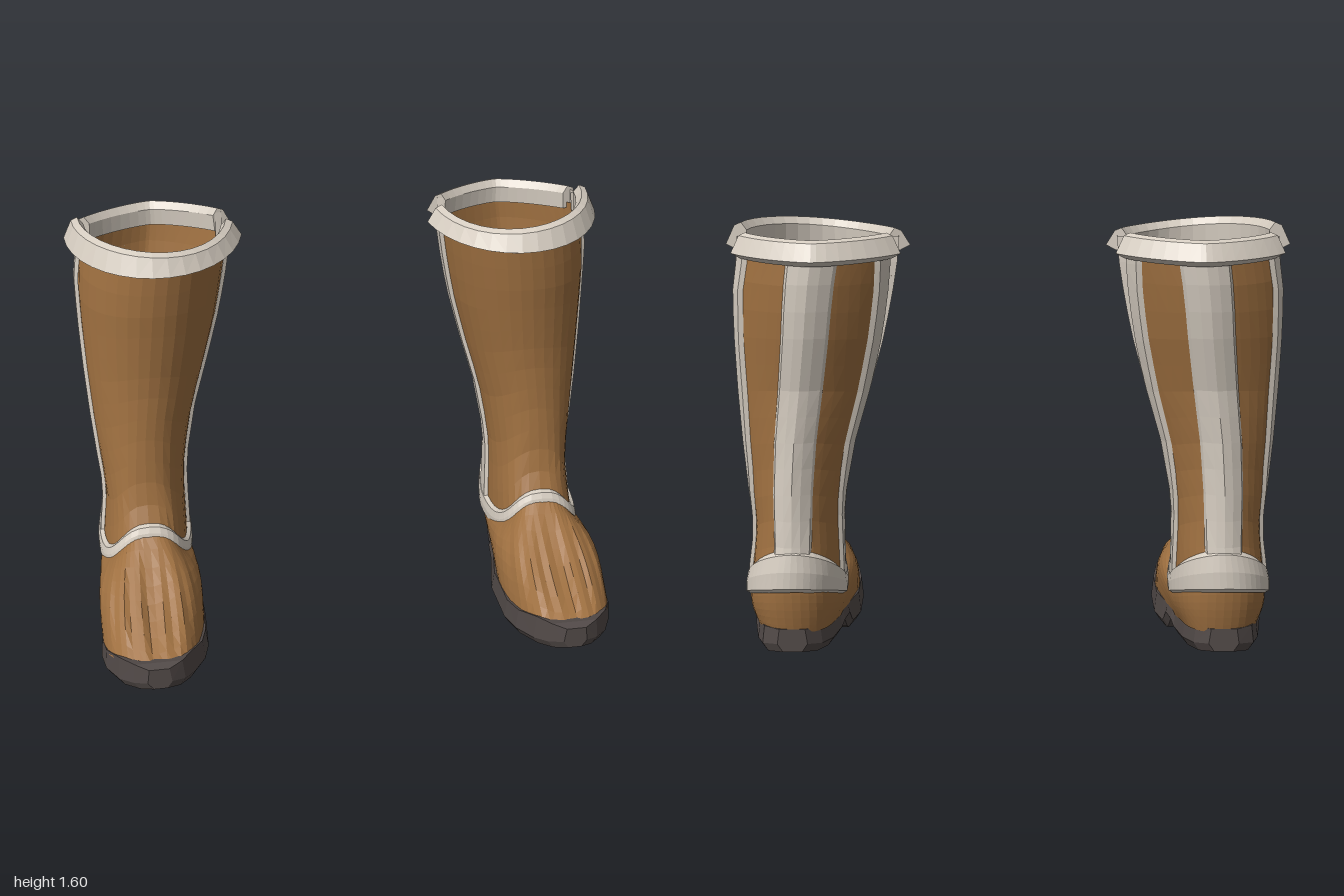
import * as THREE from 'three';

const mat = (name, color) => new THREE.MeshStandardMaterial({ name, color, flatShading: true, side: THREE.DoubleSide });
const leather = mat('brown leather', 0xa07141);
const trim = mat('pale trim', 0xd6cdc1);
const rubber = mat('dark sole', 0x524a48);

// Shaft outline by height: y, inner x, outer x, side slit z, front z, back z
const SHAFT = [
  [0.20, 0.62, 0.96, -0.235, 0.13, -0.475],
  [0.30, 0.62, 0.95, -0.245, 0.10, -0.48],
  [0.40, 0.62, 0.935, -0.255, 0.05, -0.475],
  [0.45, 0.62, 0.93, -0.26, 0.03, -0.465],
  [0.50, 0.62, 0.93, -0.265, 0.0, -0.465],
  [0.60, 0.61, 0.94, -0.28, -0.025, -0.465],
  [0.80, 0.57, 0.955, -0.30, -0.045, -0.465],
  [1.00, 0.51, 0.965, -0.32, -0.05, -0.475],
  [1.20, 0.455, 0.97, -0.34, -0.03, -0.52],
  [1.35, 0.425, 0.97, -0.35, -0.01, -0.545],
  [1.50, 0.40, 0.95, -0.36, 0.0, -0.55],
];
// Sole sections: z, inner x, outer x, bottom y, top y
const SOLE = [
  [0.605, 0.74, 0.83, 0.11, 0.20], [0.57, 0.69, 0.88, 0.09, 0.205],
  [0.50, 0.65, 0.935, 0.06, 0.19], [0.40, 0.605, 0.98, 0.035, 0.15],
  [0.30, 0.585, 0.995, 0.015, 0.125], [0.10, 0.58, 0.985, 0.005, 0.115],
  [0.0, 0.60, 0.975, 0.0, 0.11], [-0.02, 0.605, 0.97, 0.01, 0.11],
  [-0.05, 0.61, 0.965, 0.045, 0.11], [-0.14, 0.62, 0.96, 0.045, 0.11],
  [-0.16, 0.63, 0.955, 0.02, 0.11], [-0.30, 0.65, 0.93, 0.02, 0.12],
  [-0.40, 0.68, 0.90, 0.03, 0.125], [-0.45, 0.73, 0.84, 0.04, 0.125],
];
// Foot outline from the outer slit, round the toe, to the inner slit and heel
const FOOT = [
  [0.94, -0.22], [0.955, -0.05], [0.97, 0.12], [0.985, 0.3], [0.965, 0.42], [0.915, 0.51], [0.85, 0.57],
  [0.78, 0.59], [0.70, 0.56], [0.64, 0.46], [0.605, 0.32], [0.592, 0.18], [0.61, 0.02], [0.63, -0.12],
  [0.645, -0.24], [0.665, -0.36], [0.70, -0.42], [0.78, -0.445], [0.86, -0.42], [0.91, -0.34],
];
const PI = Math.PI;

// Linear lookup in a table sorted by its first column
function lookup(table, key) {
  const rows = table[0][0] < table[1][0] ? table : [...table].reverse();
  if (key <= rows[0][0]) return rows[0];
  for (let i = 1; i < rows.length; i++) {
    if (key <= rows[i][0]) {
      const t = (key - rows[i - 1][0]) / (rows[i][0] - rows[i - 1][0]);
      return rows[i].map((v, k) => rows[i - 1][k] + (v - rows[i - 1][k]) * t);
    }
  }
  return rows[rows.length - 1];
}

// The instep is squarish; above the heel the back comes to a soft ridge
const clamp = v => Math.min(1, Math.max(0, v));
const frontPower = y => 1 - 0.33 * clamp((0.8 - y) / 0.4);
const backPower = y => 1 + 0.45 * clamp((y - 0.35) / 0.35);

// Point on the shaft: angle 0 = outer slit, PI/2 = front, PI = inner slit
function shaftPoint(y, a, off = 0) {
  const [, xi, xo, zs, zf, zb] = lookup(SHAFT, y);
  const c = Math.cos(a), s = Math.sin(a);
  const x = Math.sign(c) * Math.abs(c) ** (s > 0 ? frontPower(y) : backPower(y));
  const z = s > 0 ? (zf - zs + off) * s : -(zs - zb + off) * Math.abs(s) ** backPower(y);
  return [(xi + xo) / 2 + ((xo - xi) / 2 + off) * x, y, zs + z];
}

// Angle at a slit edge, moved away from the slit by a width
function slitAngle(y, front, inner, width = 0) {
  const [, , , zs, zf, zb] = lookup(SHAFT, y);
  const open = inner ? Math.max(0, (y - 1.0) / 0.5) * 0.04 : Math.max(0, (y - 1.15) / 0.35) * 0.016;
  const depth = (open + width) / (front ? zf - zs : zs - zb);
  const g = Math.asin(depth ** (front ? 1 : 1 / backPower(y)));
  if (front) return inner ? PI - g : g;
  return inner ? PI + g : 2 * PI - g;
}

const bandY = a => {
  const s = Math.sin(a);
  return s > 0 ? 0.245 + 0.18 * s ** 3 : 0.245 - 0.105 * s;
};
const bandHalf = a => {
  const s = Math.sin(a);
  return s > 0 ? 0.042 - 0.016 * s : 0.042 - 0.036 * s;
};

// Surface through rows of points
function loft(rows, side, { closed = false, caps = false } = {}) {
  const n = rows[0].length, pos = [], idx = [];
  rows.forEach(r => r.forEach(p => pos.push(side * p[0], p[1], p[2])));
  const tri = (a, b, c) => (side > 0 ? idx.push(a, b, c) : idx.push(a, c, b));
  for (let r = 0; r < rows.length - 1; r++) {
    for (let c = 0; c < (closed ? n : n - 1); c++) {
      const a = r * n + c, b = r * n + (c + 1) % n;
      tri(a, a + n, b);
      tri(b, a + n, b + n);
    }
  }
  if (caps) {
    const e = (rows.length - 1) * n;
    for (let i = 1; i < n - 1; i++) {
      tri(0, i, i + 1);
      tri(e, e + i + 1, e + i);
    }
  }
  const g = new THREE.BufferGeometry();
  g.setAttribute('position', new THREE.Float32BufferAttribute(pos, 3));
  g.setIndex(idx);
  g.computeVertexNormals();
  return g;
}

const range = (n, fn) => Array.from({ length: n + 1 }, (_, i) => fn(i / n, i));
const mix = (a, b, t) => a + (b - a) * t;

function createBoot(side) {
  const boot = new THREE.Group();
  boot.name = side > 0 ? 'leftBoot' : 'rightBoot';
  const add = (name, geo, material) => {
    const m = new THREE.Mesh(geo, material);
    m.name = name;
    boot.add(m);
  };

  // Sole with raised arch and heel block
  add('sole', loft(SOLE.map(([z, xi, xo, yb, yt]) => [
    [xo - 0.02, yb, z], [xo, yb + 0.03, z], [xo - 0.008, yt, z],
    [xi + 0.008, yt, z], [xi, yb + 0.03, z], [xi + 0.02, yb, z],
  ]), side, { closed: true, caps: true }), rubber);

  // Foot upper, from the sole outline up to the ankle band
  const outline = new THREE.CatmullRomCurve3(FOOT.map(([x, z]) => new THREE.Vector3(x, 0, z)), true);
  const N = 60;
  add('footUpper', loft(range(8, s => range(N - 1, (_, i) => {
    const u = i / N, k = u * 20;
    const a = k <= 14 ? k / 14 * PI : PI + (k - 14) / 6 * PI;
    const p = outline.getPoint(u);
    const top = shaftPoint(bandY(a), a);
    const front = Math.max(0, Math.sin(a));
    const sideways = front * Math.abs(Math.cos(a));
    const bulge = Math.sin(PI * s);
    const crease = front ** 3 * bulge * (1 - s) * 0.014 * Math.sin(i * 2.1);
    return [
      mix(p.x, top[0], s) + Math.cos(a) * bulge * (0.012 + 0.03 * front),
      mix(lookup(SOLE, p.z)[4] - 0.015, top[1], s) + bulge * (0.09 * sideways - 0.03 * front ** 6) + crease,
      mix(p.z, top[2], s) - (1 - front) * bulge * 0.01,
    ];
  })), side, { closed: true }), leather);

  // Front and back shaft panels, parted at the side slits
  for (const front of [true, false]) {
    const label = front ? 'front' : 'back';
    const span = (y, t) => mix(slitAngle(y, front, !front), slitAngle(y, front, front), t);
    add(label + 'ShaftPanel', loft(range(12, v => range(18, t => {
      const y = mix(bandY(span(0.3, t)), 1.5 + (front ? 0 : 0.03 * Math.sin(span(1.5, t))), v);
      return shaftPoint(y, span(y, t));
    })), side), leather);

    // Flared collar with drooping lip
    const section = [[-0.015, 1.49], [-0.02, 1.555], [0.0, 1.582], [0.024, 1.572], [0.056, 1.51], [0.02, 1.492]];
    const [start, end] = front
      ? [slitAngle(1.5, true, false, 0.01), slitAngle(1.5, true, true, 0.035)]
      : [slitAngle(1.5, false, true, 0.005), slitAngle(1.5, false, false, 0.025)];
    add(label + 'Collar', loft(range(16, t => {
      const a = mix(start, end, t);
      const lift = front ? 0.016 * Math.cos(1.6 * (a - 0.75)) : -0.015 + 0.028 * Math.sin(a);
      return section.map(([off, y]) => {
        const p = shaftPoint(1.5, a, off);
        p[1] = y + lift * (y > 1.52 ? 1 : front ? 0.3 : 1);
        return p;
      });
    }), side, { closed: true, caps: true }), trim);

    // Trim along both edges of each slit
    for (const inner of [true, false]) {
      const lip = [[0, -0.012], [0, 0.014], [0.8, 0.014], [1, 0]];
      if (front === inner) lip.reverse();
      add(label + (inner ? 'Inner' : 'Outer') + 'SlitTrim', loft(range(14, v => {
        const y = mix(0.24, 1.54, v), w = front ? 0.045 : 0.042;
        return lip.map(([d, off]) => shaftPoint(y, slitAngle(y, front, inner, d * w), off));
      }), side), trim);
    }
  }

  // Wide strip wrapped over the back ridge
  add('backSeamTrim', loft(range(12, v => {
    const y = mix(0.34, 1.48, v), r = lookup(SHAFT, y);
    const w = mix(0.065, 0.09, v) / ((r[2] - r[1]) / 2);
    return [[-1, 0], [-0.85, 0.012], [-0.4, 0.014], [0, 0.014], [0.4, 0.014], [0.85, 0.012], [1, 0]].map(([d, off]) =>
      shaftPoint(y, 1.5 * PI + Math.sign(d) * Math.asin(Math.abs(d * w) ** (1 / backPower(y))), off));
  }), side), trim);

  // Ankle band, arched over the instep and raised at the heel
  add('ankleBand', loft([[-1, 0.004], [-0.8, 0.018], [0, 0.02], [0.8, 0.016], [1, 0]].map(([d, off]) =>
    range(47, (_, i) => {
      const a = i / 48 * 2 * PI;
      return shaftPoint(bandY(a) + d * bandHalf(a), a, off);
    })), side, { closed: true }), trim);

  return boot;
}

export function createModel() {
  const model = new THREE.Group();
  model.name = 'boots';
  model.add(createBoot(1), createBoot(-1));
  return model;
}
